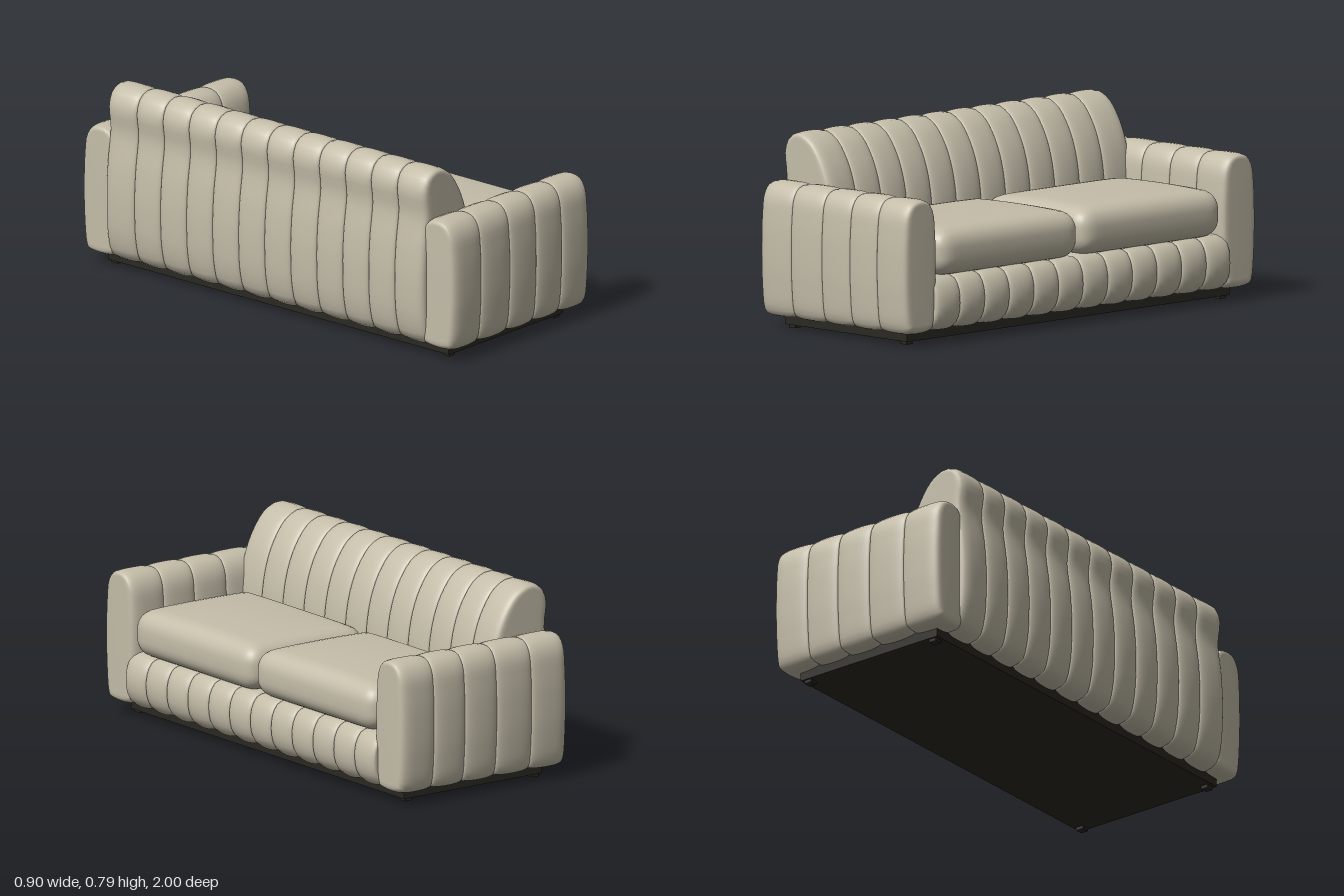
import * as THREE from 'three';
import { mergeVertices } from 'three/addons/utils/BufferGeometryUtils.js';

const leather = new THREE.MeshStandardMaterial({ color: 0xc4bda9 });
leather.name = 'leather';
const darkBase = new THREE.MeshStandardMaterial({ color: 0x2b2822 });
darkBase.name = 'dark base';

// Smooth closed outline (counter-clockwise) as points with outward normals
function outline(points, n = 56) {
  const curve = new THREE.CatmullRomCurve3(points.map(([x, y]) => new THREE.Vector3(x, y, 0)), true);
  return Array.from({ length: n }, (_, i) => {
    const p = curve.getPointAt(i / n), t = curve.getTangentAt(i / n);
    return { x: p.x, y: p.y, nx: t.y, ny: -t.x };
  });
}

// One padded rib: the outline swept along z from z0 to z1, shrinking to its seams
function ribGeometry(ring, z0, z1, depth0, depth1) {
  const pos = [], index = [], n = ring.length, steps = 18;
  for (let k = 0; k <= steps; k++) {
    const s = -Math.cos(Math.PI * k / steps);
    const depth = s < 0 ? depth0 : depth1;
    const power = depth > 0.025 ? 3.2 : 2.3;
    const inset = depth * (1 - Math.pow(Math.max(0, 1 - Math.abs(s) ** power), 1 / power));
    for (const p of ring) {
      const d = inset * (1 - 0.45 * Math.max(0, p.ny));
      pos.push(p.x - p.nx * d, p.y - p.ny * d, (z0 + z1) / 2 + s * (z1 - z0) / 2);
    }
  }
  const cx = ring.reduce((a, p) => a + p.x, 0) / n, cy = ring.reduce((a, p) => a + p.y, 0) / n;
  const startCap = pos.length / 3, endCap = startCap + 1;
  pos.push(cx, cy, z0, cx, cy, z1);
  for (let j = 0; j < n; j++) {
    const m = (j + 1) % n, last = steps * n;
    for (let k = 0; k < steps; k++) {
      const a = k * n + j, b = k * n + m;
      index.push(a, b, b + n, a, b + n, a + n);
    }
    index.push(startCap, m, j, endCap, last + j, last + m);
  }
  const g = new THREE.BufferGeometry();
  g.setAttribute('position', new THREE.Float32BufferAttribute(pos, 3));
  g.setIndex(index);
  g.computeVertexNormals();
  return g;
}

// Row of ribs between the listed seams
function ribRow(name, points, seams, depth, endDepth) {
  const group = new THREE.Group();
  group.name = name;
  const ring = outline(points);
  for (let i = 0; i < seams.length - 1; i++) {
    const g = ribGeometry(ring, seams[i], seams[i + 1],
      i === 0 ? endDepth : depth, i === seams.length - 2 ? endDepth : depth);
    const mesh = new THREE.Mesh(g, leather);
    mesh.name = name + 'Rib';
    group.add(mesh);
  }
  return group;
}

// Soft seat cushion: a box with rounded edges and a crowned top
function cushionGeometry(w, h, d, r, crown) {
  let g = new THREE.BoxGeometry(2, 2, 2, 24, 14, 24);
  g.deleteAttribute('normal');
  g.deleteAttribute('uv');
  g = mergeVertices(g);
  const half = new THREE.Vector3(w / 2, h / 2, d / 2);
  const inner = half.clone().subScalar(r);
  const p = new THREE.Vector3(), core = new THREE.Vector3(), low = inner.clone().negate();
  const pos = g.attributes.position;
  for (let i = 0; i < pos.count; i++) {
    p.fromBufferAttribute(pos, i);
    p.set(...p.toArray().map(v => Math.sin(v * Math.PI / 2))).multiply(half);
    core.copy(p).clamp(low, inner);
    p.sub(core).normalize().multiplyScalar(r).add(core);
    if (p.y > 0) {
      p.y += crown * (p.y / half.y) * (1 - (p.x / half.x) ** 2) * (1 - (p.z / half.z) ** 4);
    }
    pos.setXYZ(i, p.x, p.y, p.z);
  }
  g.computeVertexNormals();
  return g;
}

function box(name, w, h, d, x, y, z) {
  const mesh = new THREE.Mesh(new THREE.BoxGeometry(w, h, d), darkBase);
  mesh.name = name;
  mesh.position.set(x, y, z);
  return mesh;
}

export function createModel() {
  const sofa = new THREE.Group();
  sofa.name = 'sofa';

  // Twelve ribs across the width, shared by the backrest and the front rail
  const ribSeams = end => Array.from({ length: 13 }, (_, i) =>
    i === 0 ? -end : i === 12 ? end : (i - 6) * 0.139);

  // Backrest
  sofa.add(ribRow('backrest', [
    [-0.16, 0.06], [-0.14, 0.1], [-0.135, 0.3], [-0.14, 0.47], [-0.165, 0.59], [-0.205, 0.68],
    [-0.265, 0.755], [-0.34, 0.786], [-0.405, 0.762], [-0.434, 0.7], [-0.425, 0.6],
    [-0.443, 0.45], [-0.45, 0.3], [-0.437, 0.13], [-0.405, 0.058],
  ], ribSeams(0.85), 0.02, 0.045));

  // Front rail under the cushions
  sofa.add(ribRow('frontRail', [
    [0.4, 0.057], [0.434, 0.095], [0.447, 0.16], [0.435, 0.225], [0.4, 0.268],
    [0.3, 0.275], [-0.15, 0.275], [-0.2, 0.25], [-0.2, 0.08], [-0.15, 0.056], [0.3, 0.055],
  ], ribSeams(0.83), 0.022, 0.022));

  // Arms, ribbed from back to front
  const side = [[0.07, 0.056], [0.084, 0.08], [0.097, 0.2], [0.1, 0.32], [0.096, 0.45], [0.083, 0.54], [0.05, 0.584]];
  const armProfile = [...side, [0, 0.596], ...side.slice().reverse().map(([x, y]) => [-x, y])];
  for (const s of [1, -1]) {
    const arm = ribRow(s > 0 ? 'armPlusZ' : 'armMinusZ', armProfile,
      [-0.417, -0.24, -0.065, 0.095, 0.25, 0.417], 0.016, 0.04);
    arm.rotation.y = Math.PI / 2;
    arm.position.z = s * 0.9;
    sofa.add(arm);
  }

  // Two seat cushions
  const cushion = cushionGeometry(0.6, 0.19, 0.805, 0.075, 0.016);
  for (const s of [1, -1]) {
    const mesh = new THREE.Mesh(cushion, leather);
    mesh.name = 'seatCushion';
    mesh.position.set(0.13, 0.363, s * 0.402);
    sofa.add(mesh);
  }

  // Recessed plinth and small feet
  sofa.add(box('plinth', 0.695, 0.055, 1.82, -0.003, 0.0405, 0));
  for (const x of [-0.32, 0.315]) {
    for (const z of [-0.885, 0.885]) sofa.add(box('foot', 0.034, 0.016, 0.034, x, 0.008, z));
  }
  return sofa;
}
